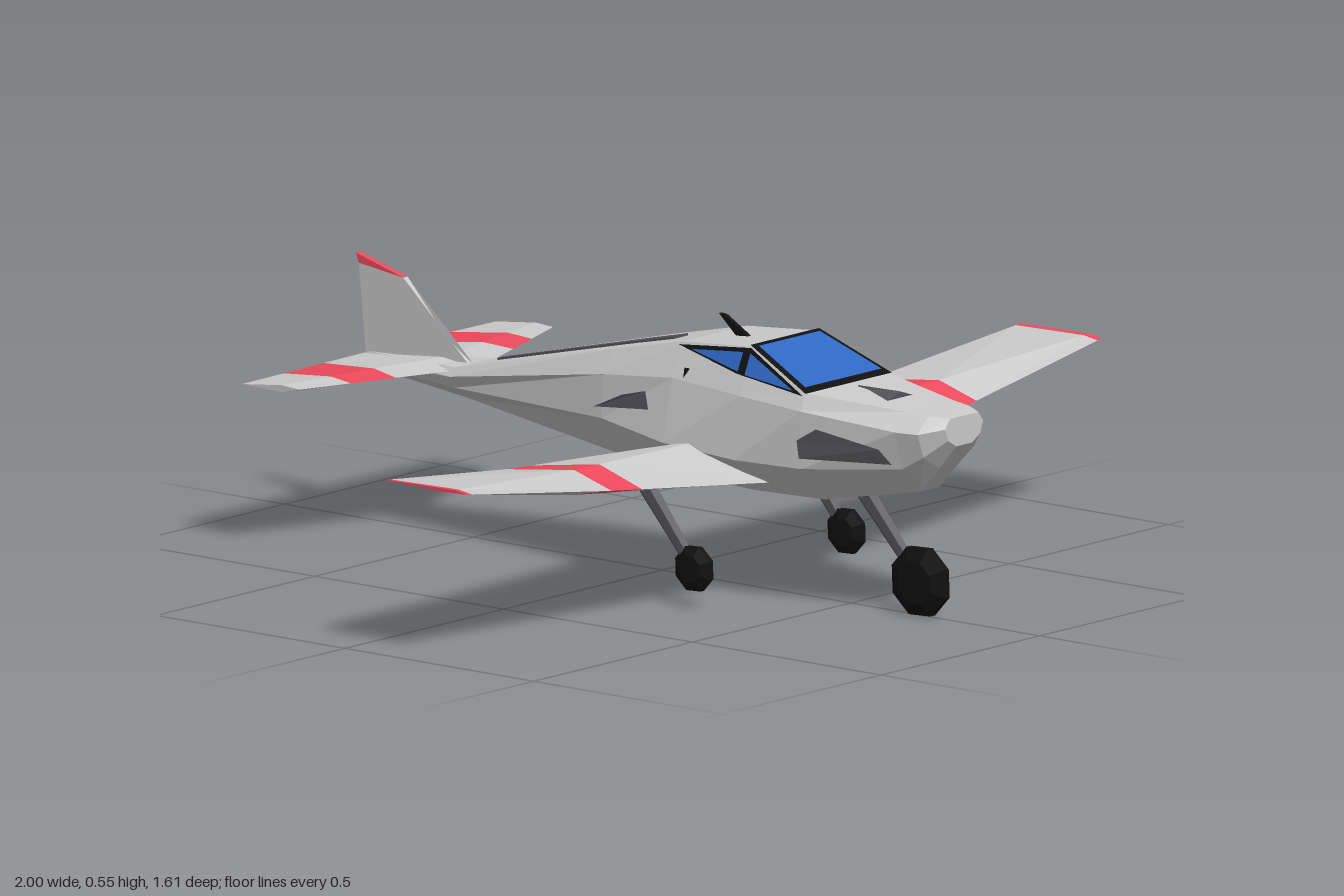
import * as THREE from 'three';

const mat = (color) => new THREE.MeshStandardMaterial({ color, flatShading: true, side: THREE.DoubleSide });
const grey = mat(0xcccccc), red = mat(0xee4a5c), blue = mat(0x2f68c4), dark = mat(0x55555a), black = mat(0x111111);

function mesh(name, geometry, material, parent) {
  const m = new THREE.Mesh(geometry, material);
  m.name = name;
  parent.add(m);
  return m;
}

function fromTriangles(tris) {
  const g = new THREE.BufferGeometry();
  g.setAttribute('position', new THREE.Float32BufferAttribute(tris.flat(2), 3));
  g.computeVertexNormals();
  return g;
}

// Capped loft through rings of [x, y, z]; winding is turned outward by the sign of its volume
function loft(rings) {
  const tris = [], n = rings[0].length;
  for (let i = 0; i < rings.length - 1; i++) {
    for (let j = 0; j < n; j++) {
      const k = (j + 1) % n, a = rings[i], b = rings[i + 1];
      tris.push([a[j], a[k], b[k]], [a[j], b[k], b[j]]);
    }
  }
  const last = rings[rings.length - 1];
  for (let j = 1; j < n - 1; j++) {
    tris.push([rings[0][0], rings[0][j + 1], rings[0][j]], [last[0], last[j], last[j + 1]]);
  }
  const v = (p) => new THREE.Vector3(...p);
  const volume = tris.reduce((s, [a, b, c]) => s + v(a).dot(v(b).cross(v(c))), 0);
  return fromTriangles(volume < 0 ? tris.map(([a, b, c]) => [a, c, b]) : tris);
}

const fan = (pts) => fromTriangles(pts.slice(2).map((p, i) => [pts[0], pts[i + 1], p]));

// Fuselage half sections: z, then x,y of the belly, lower side, upper side and top edge
const sections = [
  [0.80, 0.025, 0.37, 0.05, 0.385, 0.06, 0.41, 0.045, 0.43],
  [0.76, 0.03, 0.32, 0.08, 0.35, 0.10, 0.40, 0.065, 0.434],
  [0.71, 0.03, 0.265, 0.09, 0.32, 0.11, 0.40, 0.075, 0.437],
  [0.49, 0.07, 0.225, 0.145, 0.30, 0.148, 0.42, 0.13, 0.455],
  [0.33, 0.09, 0.225, 0.165, 0.30, 0.148, 0.43, 0.105, 0.525],
  [0.14, 0.09, 0.23, 0.165, 0.31, 0.135, 0.44, 0.10, 0.51],
  [-0.05, 0.07, 0.245, 0.132, 0.33, 0.125, 0.42, 0.095, 0.468],
  [-0.50, 0.02, 0.293, 0.06, 0.32, 0.075, 0.345, 0.06, 0.362],
  [-0.78, 0.005, 0.32, 0.01, 0.325, 0.01, 0.34, 0.005, 0.35],
];

function ring([z, ...p]) {
  const half = [0, 2, 4, 6].map((i) => [p[i], p[i + 1], z]);
  return [...half, ...half.map(([x, y]) => [-x, y, z]).reverse()];
}

// Half width of the fuselage at a given height and station
function sideX(z, y) {
  let i = 0;
  while (i < sections.length - 2 && sections[i + 1][0] > z) i++;
  const a = sections[i], b = sections[i + 1], t = (a[0] - z) / (a[0] - b[0]);
  const s = a.map((v, k) => v + (b[k] - v) * t);
  let k = 1;
  while (k < 5 && s[k + 3] < y) k += 2;
  const u = THREE.MathUtils.clamp((y - s[k + 1]) / (s[k + 3] - s[k + 1]), 0, 1);
  return s[k] + (s[k + 2] - s[k]) * u;
}

// Flat panel laid on both flanks from [z, y] corners
function sidePanels(name, corners, offset, material, parent) {
  for (const s of [1, -1]) {
    const pts = corners.map(([z, y]) => [s * (sideX(z, y) + offset), y, z]);
    mesh(name, fan(s > 0 ? pts : pts.reverse()), material, parent);
  }
}

function wingSection(x) {
  const stops = [0.1, 0.57, 1];
  const i = x <= stops[1] ? 0 : 1, t = (x - stops[i]) / (stops[i + 1] - stops[i]);
  // z,y of the leading edge, top ridge, trailing edge and bottom ridge
  const p = [
    [0.377, 0.25, 0.20, 0.315, 0.02, 0.27, 0.22, 0.222],
    [0.35, 0.305, 0.25, 0.335, 0.07, 0.312, 0.25, 0.283],
    [0.325, 0.363, 0.29, 0.368, 0.11, 0.365, 0.25, 0.36],
  ];
  const q = p[i].map((v, k) => v + (p[i + 1][k] - v) * t);
  return [0, 2, 4, 6].map((k) => [x, q[k + 1], q[k]]);
}

// Tailplane section, slanted between its leading and trailing edge positions
function tailSection([xf, xr]) {
  const zf = -0.485 - 0.35 * xf, zr = -0.785 + 0.02 * xr, t = 0.014 - 0.02 * xf;
  const xm = xf * 0.7 + xr * 0.3, zm = zf * 0.7 + zr * 0.3;
  return [[xf, 0.354, zf], [xm, 0.351 + t, zm], [xr, 0.345, zr], [xm, 0.348 - t, zm]];
}

function bands(name, rings, colors, parent) {
  for (const s of [1, -1]) {
    const r = rings.map((pts) => pts.map(([x, y, z]) => [s * x, y, z]));
    colors.forEach((c, i) => mesh(name + (c === red ? 'Stripe' : 'Panel'), loft([r[i], r[i + 1]]), c, parent));
  }
}

// Upright plate from [z, y] corners, tapered towards its rim
function plate(corners, w) {
  return loft([-w, w].map((x) => corners.map(([z, y]) => [x, y, z])));
}

function landingGear(name, x, top, hub, r, w, parent) {
  const g = new THREE.Group();
  g.name = name;
  g.position.x = x;
  const a = new THREE.Vector3(0, top[1], top[0]), b = new THREE.Vector3(0, hub[1], hub[0]);
  const strut = mesh('strut', new THREE.CylinderGeometry(0.024, 0.015, a.distanceTo(b), 6), dark, g);
  strut.position.copy(a).add(b).multiplyScalar(0.5);
  strut.quaternion.setFromUnitVectors(new THREE.Vector3(0, 1, 0), a.clone().sub(b).normalize());
  strut.scale.x = 0.55;
  const profile = [[0, -w], [r * 0.6, -w], [r, -w * 0.35], [r, w * 0.35], [r * 0.6, w], [0, w]];
  const wheel = mesh('wheel', new THREE.LatheGeometry(profile.map((p) => new THREE.Vector2(...p)), 8), black, g);
  wheel.rotation.set(Math.PI / 9, 0, Math.PI / 2, 'XYZ');
  wheel.position.copy(b);
  parent.add(g);
}

export function createModel() {
  const plane = new THREE.Group();
  plane.name = 'lightAircraft';
  mesh('fuselage', loft(sections.map(ring)), grey, plane);

  // Canopy: black frames with blue glass
  const shield = (w0, w1, z0, z1, lift) => {
    const y = (z) => 0.455 + (0.49 - z) * 0.4375 + lift;
    return fan([[-w0, y(z0), z0], [w0, y(z0), z0], [w1, y(z1), z1], [-w1, y(z1), z1]]);
  };
  mesh('windshieldFrame', shield(0.136, 0.108, 0.494, 0.325, 0.002), black, plane);
  mesh('windshield', shield(0.12, 0.096, 0.48, 0.337, 0.005), blue, plane);
  sidePanels('sideWindowFrame', [[0.49, 0.45], [0.31, 0.472], [0.135, 0.505], [0.33, 0.524]], 0.007, black, plane);
  sidePanels('frontSideWindow', [[0.465, 0.458], [0.335, 0.473], [0.335, 0.515]], 0.011, blue, plane);
  sidePanels('rearSideWindow', [[0.315, 0.477], [0.175, 0.502], [0.315, 0.515]], 0.011, blue, plane);

  // Dark side details
  sidePanels('cowlVent', [[0.695, 0.33], [0.49, 0.323], [0.485, 0.36], [0.53, 0.388], [0.67, 0.36]], 0.007, dark, plane);
  sidePanels('rearVent', [[0.09, 0.37], [-0.07, 0.352], [0.01, 0.388], [0.075, 0.405]], 0.006, dark, plane);
  sidePanels('sideMarker', [[0.185, 0.465], [0.175, 0.445], [0.17, 0.465]], 0.008, black, plane);

  // Dark details along the top
  mesh('hoodScoop', loft([
    [[-0.05, 0.44, 0.63], [0.05, 0.44, 0.63], [0, 0.457, 0.63]],
    [[-0.004, 0.448, 0.52], [0.004, 0.448, 0.52], [0, 0.455, 0.52]],
  ]), dark, plane);
  mesh('spineStrip', loft([[0.05, 0.495, 0.022], [-0.05, 0.472, 0.022], [-0.43, 0.383, 0.008]].map(([z, y, w]) =>
    [[-w, y - 0.02, z], [w, y - 0.02, z], [w, y, z], [-w, y, z]])), dark, plane);
  mesh('antenna', plate([[0.235, 0.515], [0.205, 0.51], [0.155, 0.555], [0.17, 0.553]], 0.005), black, plane);

  // Wings with red stripes and tips
  bands('wing', [0.1, 0.485, 0.57, 0.575, 0.985, 1].map(wingSection), [grey, red, red, grey, red], plane);

  // Tail
  bands('tailplane', [[0, 0], [0.185, 0.135], [0.285, 0.265], [0.4, 0.4]].map(tailSection), [grey, red, grey], plane);
  mesh('tailFin', plate([[-0.5, 0.352], [-0.58, 0.405], [-0.68, 0.515], [-0.798, 0.53], [-0.777, 0.325]], 0.007), grey, plane);
  mesh('finTip', plate([[-0.68, 0.515], [-0.805, 0.55], [-0.798, 0.53]], 0.0072), red, plane);

  // Landing gear
  landingGear('noseGear', 0, [0.53, 0.245], [0.685, 0.071], 0.075, 0.022, plane);
  for (const s of [1, -1]) landingGear('mainGear', 0.24 * s, [0.15, 0.25], [0.287, 0.082], 0.049, 0.016, plane);
  return plane;
}
